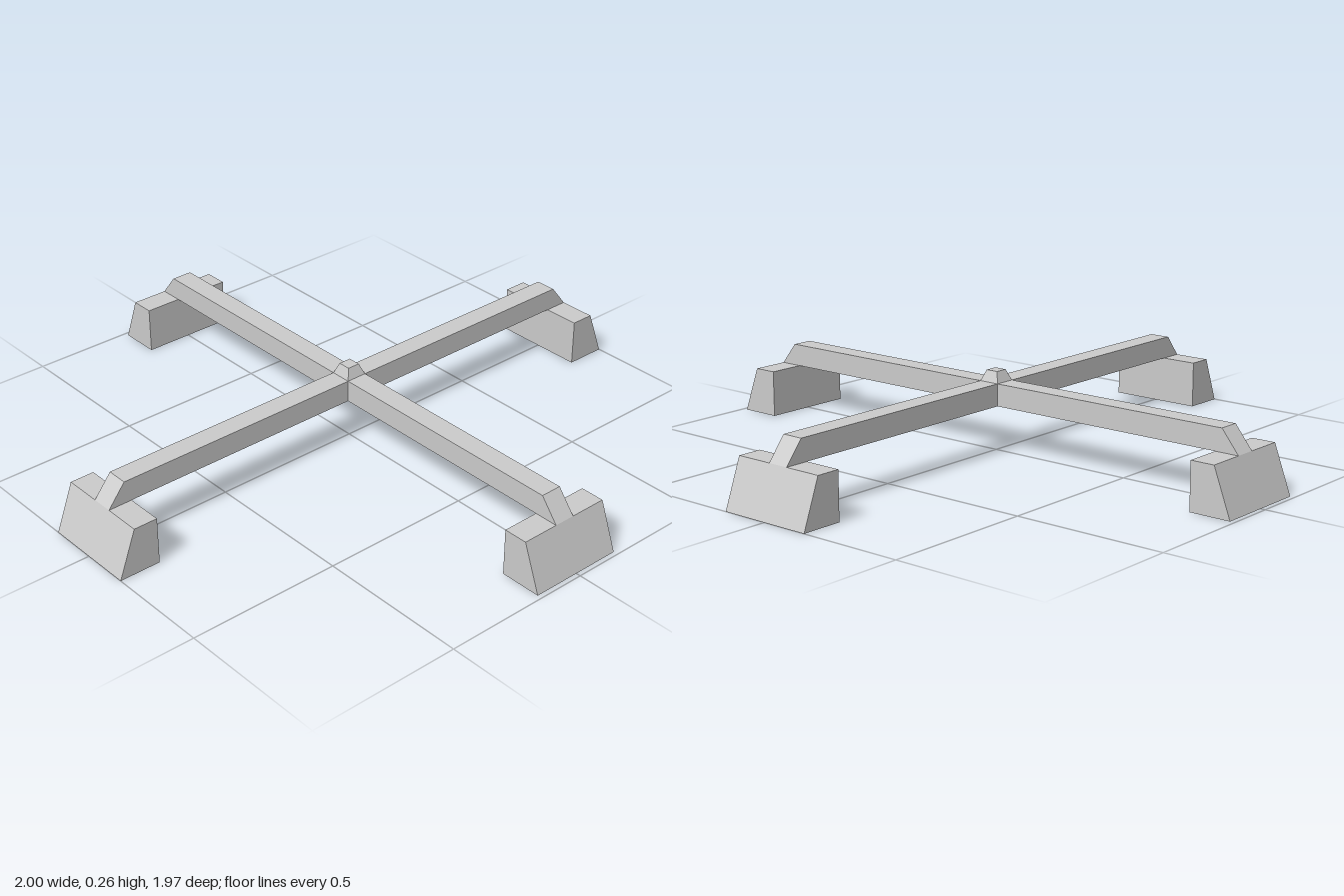
import * as THREE from 'three';

const material = new THREE.MeshStandardMaterial({ color: 0xcccccc, flatShading: true });

// Side profile (radial distance, height) extruded to a centred width
function prism(name, points, width) {
  const shape = new THREE.Shape(points.map(([x, y]) => new THREE.Vector2(x, y)));
  const geometry = new THREE.ExtrudeGeometry(shape, { depth: width, bevelEnabled: false });
  geometry.translate(0, 0, -width / 2);
  const mesh = new THREE.Mesh(geometry, material);
  mesh.name = name;
  return mesh;
}

export function createModel() {
  const model = new THREE.Group();
  model.name = 'crossStand';

  const footTop = 0.153, beamTop = 0.225, half = 0.035;

  // Four arms, each a beam with a sloped end on a wide wedge foot
  for (let i = 0; i < 4; i++) {
    const reach = i % 2 ? 0.985 : 1;
    const arm = new THREE.Group();
    arm.name = 'arm' + (i + 1);
    arm.add(prism('beam', [
      [half, footTop], [reach - 0.058, footTop], [reach - 0.116, beamTop], [half, beamTop],
    ], half * 2));
    arm.add(prism('foot', [
      [reach - 0.137, 0], [reach, 0], [reach - 0.058, footTop], [reach - 0.137, footTop],
    ], 0.316));
    arm.rotation.y = i * Math.PI / 2;
    model.add(arm);
  }

  // Central joint with a small tapered cap
  const hub = new THREE.Mesh(new THREE.BoxGeometry(half * 2, beamTop - footTop, half * 2), material);
  hub.name = 'hub';
  hub.position.y = (beamTop + footTop) / 2;
  const capGeometry = new THREE.CylinderGeometry(0.021 * Math.SQRT2, half * Math.SQRT2, 0.035, 4);
  capGeometry.rotateY(Math.PI / 4);
  const cap = new THREE.Mesh(capGeometry, material);
  cap.name = 'hubCap';
  cap.position.y = beamTop + 0.0175;
  model.add(hub, cap);

  return model;
}
